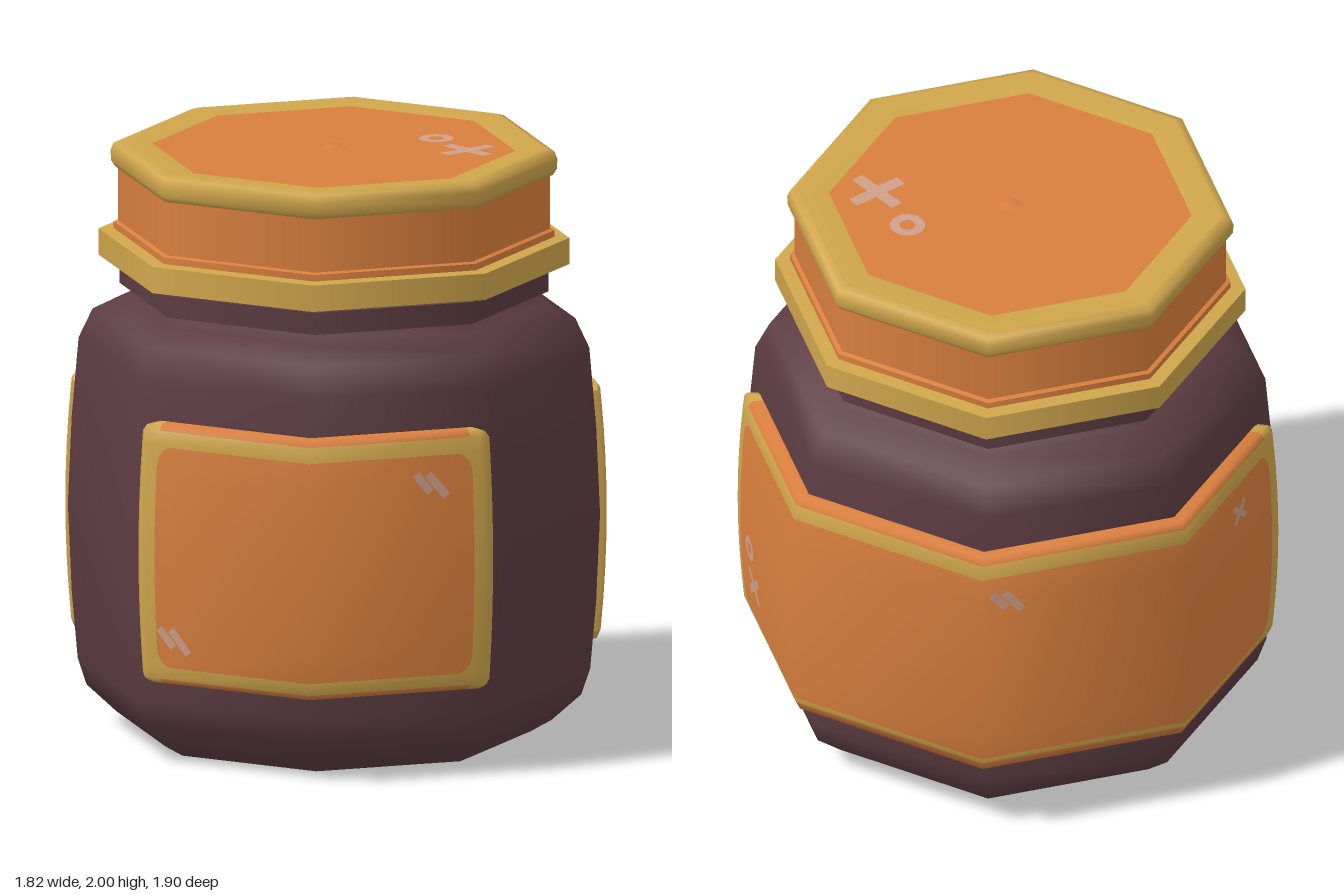
import * as THREE from 'three';
import { mergeGeometries } from 'three/addons/utils/BufferGeometryUtils.js';

const mat = (name, color) => {
  const m = new THREE.MeshStandardMaterial({ color });
  m.name = name;
  return m;
};

export function createModel() {
  const plum = mat('plum', 0x5c3c42);
  const orange = mat('orange', 0xd97f3e);
  const gold = mat('gold', 0xd0a64c);
  const shine = mat('shine', 0xd0a08c);
  const model = new THREE.Group();
  model.name = 'jar';

  const add = (name, geometry, material, parent = model) => {
    const mesh = new THREE.Mesh(geometry, material);
    mesh.name = name;
    parent.add(mesh);
    return mesh;
  };
  // Eight-sided lathe; a repeated point makes a sharp edge.
  const turned = (name, material, pts) =>
    add(name, new THREE.LatheGeometry(pts.map(p => new THREE.Vector2(...p)), 8), material);

  // Jar
  turned('body', plum, [
    [0, 0], [0.66, 0], [0.66, 0], [0.73, 0.04], [0.83, 0.13], [0.86, 0.22], [0.88, 0.45], [0.893, 0.75],
    [0.88, 1.05], [0.857, 1.32], [0.81, 1.42], [0.71, 1.47], [0.66, 1.49], [0.655, 1.51],
  ]);
  turned('neck', plum, [[0.65, 1.48], [0.65, 1.63]]);
  turned('neckRing', plum, [
    [0.64, 1.51], [0.72, 1.51], [0.72, 1.51], [0.72, 1.585], [0.72, 1.585], [0.64, 1.59],
  ]);

  // Lid
  turned('lidLowerRing', gold, [
    [0.5, 1.605], [0.79, 1.605], [0.79, 1.605], [0.79, 1.695], [0.79, 1.695], [0.7, 1.7],
  ]);
  turned('lidWall', orange, [
    [0.74, 1.69], [0.74, 1.72], [0.74, 1.72], [0.725, 1.725], [0.725, 1.725], [0.725, 1.92],
  ]);
  turned('lidTopRing', gold, [
    [0.71, 1.91], [0.735, 1.91], [0.748, 1.93], [0.75, 1.965], [0.74, 1.99], [0.71, 2], [0.61, 1.99],
  ]);
  turned('lidTop', orange, [[0.612, 1.99], [0.05, 1.985], [0.03, 1.998], [0, 1.998]]);

  // Point on the bulging octagon: u counts sides from +z towards +x.
  const onLabel = (u, y, depth) => {
    const r = 0.945 - 0.025 * ((y - 0.745) / 0.445) ** 2 - depth;
    const i = Math.floor(u), f = u - i;
    const corner = k => [r * Math.sin(k * Math.PI / 4), r * Math.cos(k * Math.PI / 4)];
    const [a, b] = [corner(i), corner(i + 1)];
    return [a[0] + (b[0] - a[0]) * f, y, a[1] + (b[1] - a[1]) * f];
  };

  // Grid over the label surface; cols are [u, depth, trim], rows are [y, depth].
  const patch = (cols, rows, isSecond = () => false) => {
    const pos = [], faces = [[], []], n = rows.length;
    const lo = rows[0][0], hi = rows[n - 1][0];
    for (const [u, d, trim] of cols) for (const [y, e] of rows) {
      const yy = Math.min(hi - trim, Math.max(lo + trim, y));
      pos.push(...onLabel(u, yy, Math.max(d, e)));
    }
    for (let c = 0; c < cols.length - 1; c++) for (let r = 0; r < n - 1; r++) {
      const a = c * n + r, b = a + n;
      faces[isSecond(c, r) ? 1 : 0].push(a, b, b + 1, a, b + 1, a + 1);
    }
    const g = new THREE.BufferGeometry();
    g.setAttribute('position', new THREE.Float32BufferAttribute(pos, 3));
    g.setIndex([...faces[0], ...faces[1]]);
    g.addGroup(0, faces[0].length, 0);
    g.addGroup(faces[0].length, faces[1].length, 1);
    g.computeVertexNormals();
    return g;
  };
  const steps = (a, b, n) => Array.from({ length: n + 1 }, (_, i) => a + (b - a) * i / n);
  const mirrorCols = (ends, u0, u1) => {
    const mid = [];
    for (let k = Math.ceil(u0 + 0.2); k <= u1 - 0.2; k++) mid.push([k, ends.at(-1)[1], 0]);
    return [
      ...ends.map(([du, d, t]) => [u0 + du, d, t]), ...mid,
      ...ends.slice().reverse().map(([du, d, t]) => [u1 - du, d, t]),
    ];
  };

  // Wrapped label: gold frame with orange upper and lower edges, and an orange panel
  const addLabel = (name, u0, u1, lowEdge) => {
    const group = new THREE.Group();
    group.name = name;
    model.add(group);
    const frameEnds = [[0, 0.075, 0.03], [0, 0.02, 0.03], [0.025, 0.005, 0.008], [0.06, 0, 0], [0.11, 0, 0]];
    const frameCols = mirrorCols(frameEnds, u0, u1);
    const frameRows = [
      [0.3, 0.075], [0.3, 0.015], [lowEdge, 0], ...steps(0.36, 1.12, 8).map(y => [y, 0]),
      [1.168, 0], [1.19, 0.015], [1.19, 0.075],
    ];
    const last = frameRows.length - 2;
    const edge = (c, r) => c > 3 && c < frameCols.length - 5 && (r < 2 || r > last - 2);
    add('frame', patch(frameCols, frameRows, edge), [gold, orange], group);

    const R = 0.07;
    const panelEnds = steps(0, Math.PI / 2, 5).map(t => [0.11 + R * (1 - Math.cos(t)), -0.004, R * (1 - Math.sin(t))]);
    add('panel', patch(mirrorCols(panelEnds, u0, u1), steps(0.36, 1.115, 8).map(y => [y, -1])), orange, group);
  };
  addLabel('frontLabel', -0.91, 0.91, 0.318);
  addLabel('backLabel', 2.09, 5.91, 0.338);

  // Painted glints, drawn flat then laid on a surface
  const stroke = (x, y, length, angle, width = 0.028) =>
    new THREE.PlaneGeometry(length, width).rotateZ(angle).translate(x, y, 0);
  const dashes = () => mergeGeometries([stroke(-0.025, 0.015, 0.08, -0.9), stroke(0.025, 0.005, 0.1, -0.9)]);
  const cross = s => mergeGeometries([stroke(0, 0, s, 0.75, s * 0.22), stroke(0, 0, s, -0.75, s * 0.22)]);
  const ring = s => new THREE.RingGeometry(s * 0.45, s, 12);
  const glint = (name, g, u, y) => {
    const p = g.attributes.position;
    for (let i = 0; i < p.count; i++)
      p.setXYZ(i, ...onLabel(u + p.getX(i) / 0.72, y + p.getY(i), -0.008));
    g.computeVertexNormals();
    add(name, g, shine);
  };
  glint('frontUpperGlint', dashes(), 0.59, 1.01);
  glint('frontLowerGlint', dashes(), -0.71, 0.45);
  glint('backDotGlint', ring(0.045), 2.36, 0.655);
  glint('backCrossGlint', cross(0.14), 2.41, 0.52);
  glint('backMiddleGlint', dashes(), 4.12, 1.01);
  glint('backSideGlint', cross(0.1), 5.5, 1.01);
  add('lidRingGlint', ring(0.06).rotateX(-Math.PI / 2).translate(0.33, 1.993, -0.15), shine);
  add('lidCrossGlint', cross(0.2).rotateX(-Math.PI / 2).translate(0.45, 1.994, 0.02), shine);

  return model;
}
